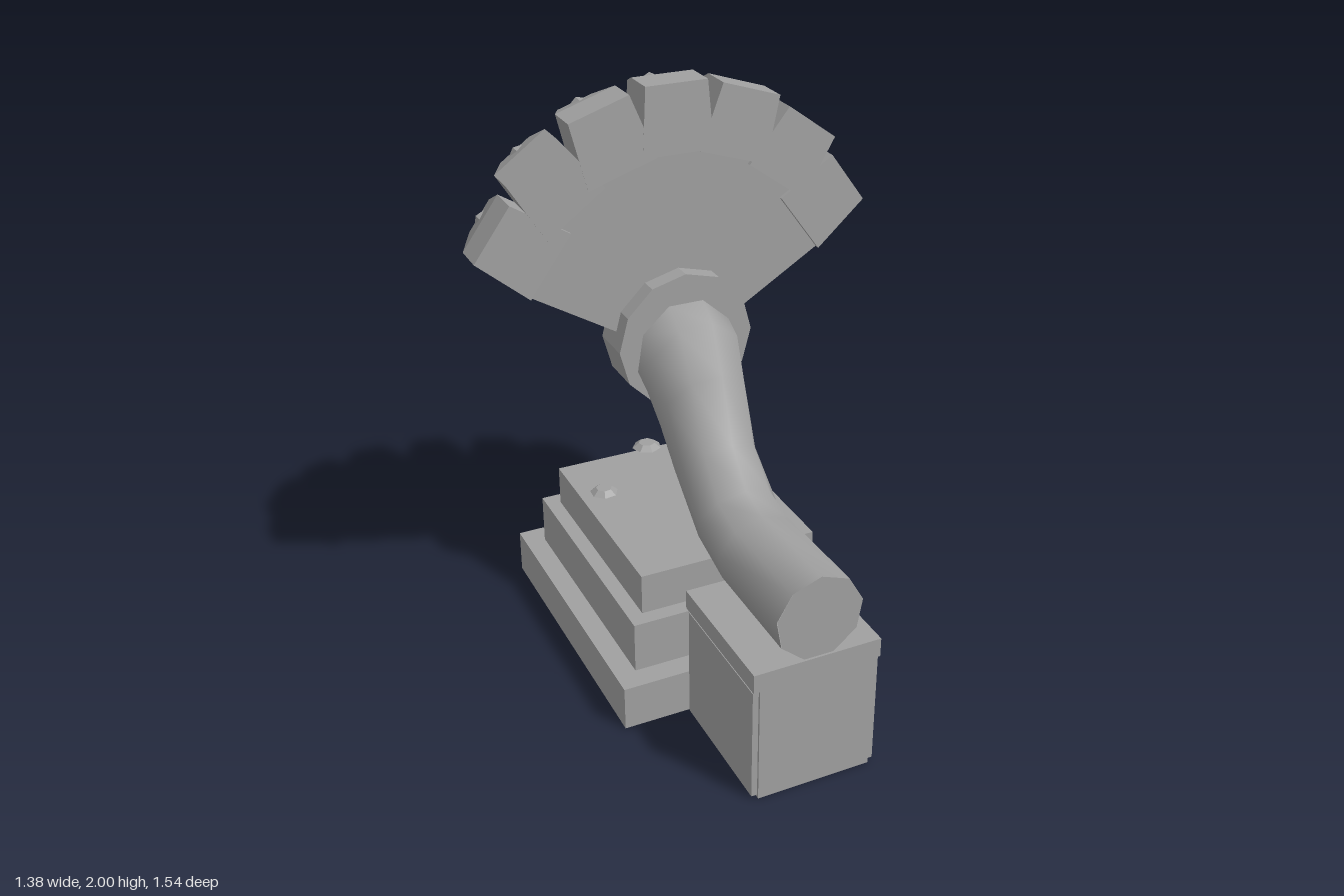
import * as THREE from 'three';
import { ConvexGeometry } from 'three/addons/geometries/ConvexGeometry.js';

export function createModel() {
  const model = new THREE.Group();
  const stone = new THREE.MeshStandardMaterial({ color: 0xa0a0a0 });
  stone.name = 'grey stone';

  const add = (name, geometry, parent = model) => {
    const mesh = new THREE.Mesh(geometry, stone);
    mesh.name = name;
    parent.add(mesh);
    return mesh;
  };
  // Box given by its limits on each axis
  const box = (name, x0, x1, y0, y1, z0, z1) => {
    const mesh = add(name, new THREE.BoxGeometry(x1 - x0, y1 - y0, z1 - z0));
    mesh.position.set((x0 + x1) / 2, (y0 + y1) / 2, (z0 + z1) / 2);
    return mesh;
  };
  const flat = (geometry) => {
    const g = geometry.index ? geometry.toNonIndexed() : geometry;
    g.computeVertexNormals();
    return g;
  };

  // Stepped base
  box('lowerStep', -0.445, 0.445, 0, 0.16, -0.77, 0.28);
  box('middleStep', -0.372, 0.372, 0.16, 0.342, -0.69, 0.2);
  box('upperStep', -0.32, 0.32, 0.342, 0.487, -0.635, 0.145);

  // Front pedestal with a cap and side panels
  box('pedestal', -0.183, 0.183, 0, 0.42, 0.28, 0.768);
  box('pedestalCap', -0.22, 0.22, 0.42, 0.487, 0.28, 0.77);
  for (const s of [-1, 1]) {
    const panel = box('pedestalPanel', -0.018, 0.018, 0.01, 0.412, 0.295, 0.76);
    panel.position.x = s * 0.2;
    box('panelBacking', s * 0.19 - 0.008, s * 0.19 + 0.008, 0, 0.42, 0.28, 0.768);
  }

  // Low studs on top of the base: x, z, radius
  [[0.04, -0.65, 0.056], [0.235, -0.13, 0.046], [0.19, 0.2, 0.068], [-0.23, -0.41, 0.053]].forEach(([x, z, r], i) => {
    const stud = add('stud', flat(new THREE.CylinderGeometry(r * 0.55, r, 0.02, 7)));
    stud.position.set(x, 0.495, z);
    stud.rotation.y = i * 0.8;
  });

  // Curved neck: nine-sided rings from top point (z, y), bottom point (z, y) and half width
  const rings = [
    [0.77, 0.78, 0.77, 0.495, 0.15],
    [0.386, 0.77, 0.35, 0.498, 0.147],
    [0.265, 0.8, 0.14, 0.55, 0.143],
    [0.143, 0.895, -0.063, 0.72, 0.143],
    [0.03, 1.1, -0.13, 0.81, 0.157],
    [-0.08, 1.235, -0.17, 0.88, 0.175],
    [-0.195, 1.275, -0.195, 0.9, 0.18],
  ];
  const sides = 9, positions = [], index = [];
  rings.forEach(([tz, ty, bz, by, w], i) => {
    const d = Math.hypot(tz - bz, ty - by), r = d / 1.94;
    const uy = (ty - by) / d, uz = (tz - bz) / d;
    const t = Math.max(0, (i - 2) / 4), drop = r * (1 - 0.06 * t);
    for (let j = 0; j < sides; j++) {
      const a = (j / sides) * Math.PI * 2 + t * Math.PI / 9;
      const h = r * Math.cos(a) - drop;
      positions.push(w * Math.sin(a), ty + h * uy, tz + h * uz);
      if (i < rings.length - 1) {
        const k = (j + 1) % sides, p = i * sides, q = p + sides;
        index.push(p + j, p + k, q + j, p + k, q + k, q + j);
      }
    }
  });
  const neck = new THREE.BufferGeometry();
  neck.setAttribute('position', new THREE.Float32BufferAttribute(positions, 3));
  neck.setIndex(index);
  neck.computeVertexNormals();
  add('neck', neck);
  add('neckEnd', new THREE.CircleGeometry(0.148, sides, Math.PI / 2)).position.set(0, 0.633, 0.77);

  // Round hub behind the neck
  const hub = add('hub', flat(new THREE.CylinderGeometry(0.24, 0.24, 0.155, 12).rotateX(Math.PI / 2)));
  hub.position.set(0, 1.137, -0.267);

  // Fan plate with a rounded notch at the bottom
  const hubY = 1.14, step = Math.PI / 10;
  const outerRadius = [0.86, 0.85, 0.828, 0.778];
  const fan = new THREE.Group();
  fan.name = 'fan';
  model.add(fan);
  const outline = new THREE.Shape();
  outline.moveTo(0.11, 1.12);
  outline.lineTo(0.24, 1.198);
  outline.lineTo(0.518, 1.367);
  for (let i = 3; i >= -3; i--) {
    const r = outerRadius[Math.abs(i)] - 0.19;
    outline.lineTo(r * Math.sin(i * step), hubY + r * Math.cos(i * step));
  }
  outline.lineTo(-0.518, 1.367);
  outline.lineTo(-0.24, 1.198);
  outline.lineTo(-0.11, 1.12);
  outline.absarc(0, 1.12, 0.11, Math.PI, 0, true);
  const plate = new THREE.ExtrudeGeometry(outline, { depth: 0.112, bevelEnabled: false, curveSegments: 8 });
  add('fanPlate', plate, fan).position.z = -0.362;

  // Seven blocks around the fan, tapering towards the back
  for (let i = -3; i <= 3; i++) {
    const r = outerRadius[Math.abs(i)], inner = r - 0.228;
    const tooth = new THREE.Group();
    tooth.name = 'fanBlock';
    tooth.position.y = hubY;
    tooth.rotation.z = -i * step;
    fan.add(tooth);
    const points = [];
    for (const s of [-1, 1]) {
      points.push(
        new THREE.Vector3(s * 0.107, r, -0.245), new THREE.Vector3(s * 0.124, inner, -0.235),
        new THREE.Vector3(s * 0.107, r, -0.36), new THREE.Vector3(s * 0.124, inner, -0.36),
        new THREE.Vector3(s * 0.062, r - 0.05, -0.502), new THREE.Vector3(s * 0.072, inner + 0.05, -0.502));
    }
    add('block', new ConvexGeometry(points), tooth);
    // Small pointed ridge on the sloping outer face
    add('ridge', new ConvexGeometry([
      new THREE.Vector3(-0.045, r - 0.045, -0.465), new THREE.Vector3(0.045, r - 0.045, -0.465),
      new THREE.Vector3(0, r - 0.025, -0.43), new THREE.Vector3(0, r - 0.022, -0.465),
    ]), tooth);
  }
  return model;
}
